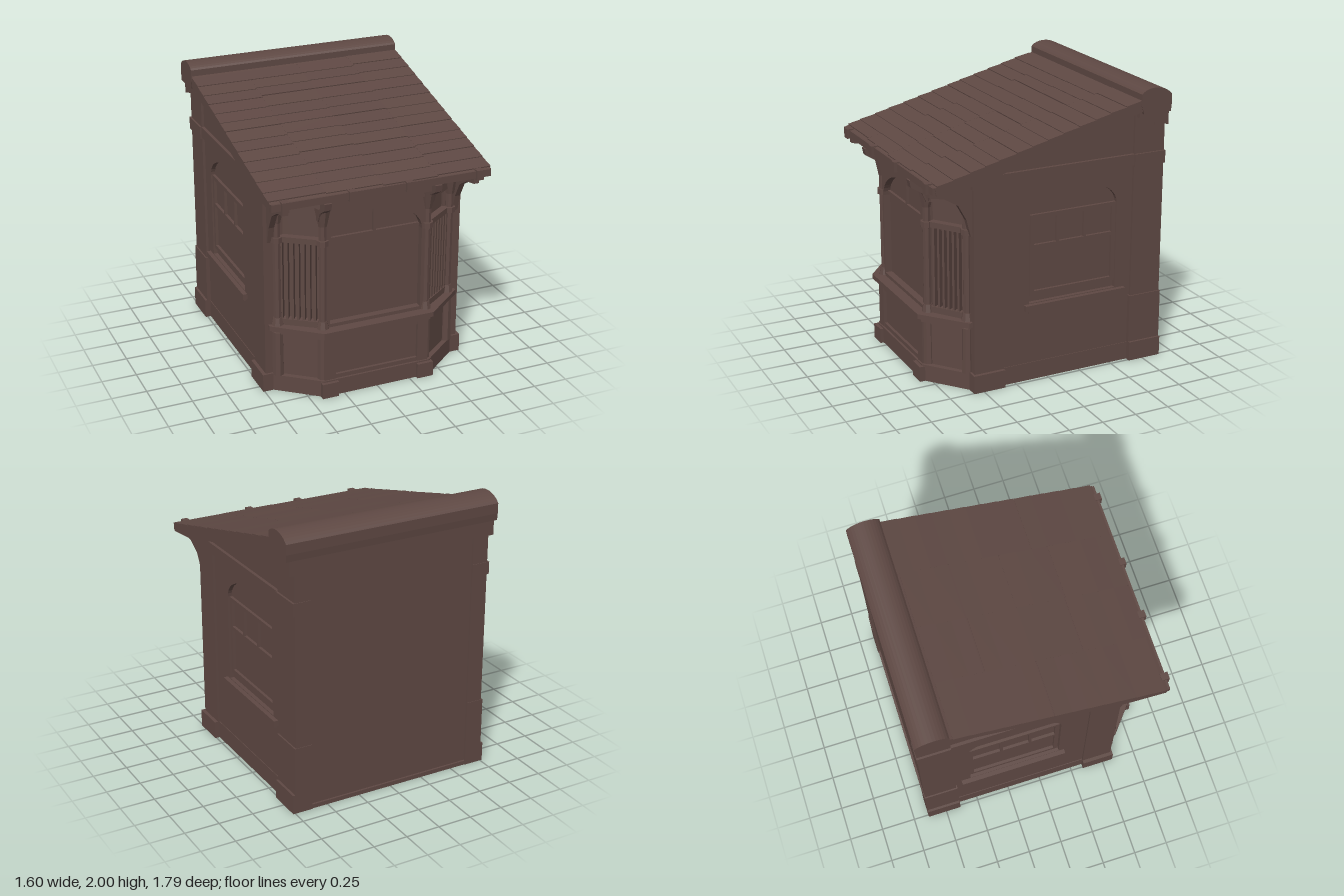
import * as THREE from 'three';

const timber = new THREE.MeshStandardMaterial({ color: 0x5e4843, flatShading: true });
timber.name = 'dark brown timber';

export function createModel() {
  const root = new THREE.Group();
  root.name = 'bayWindowHut';

  const add = (name, geometry, parent = root) => {
    const m = new THREE.Mesh(geometry, timber);
    m.name = name;
    parent.add(m);
    return m;
  };
  // Box given by its limits on each axis
  const box = (name, x0, x1, y0, y1, z0, z1, parent) => {
    const g = new THREE.BoxGeometry(x1 - x0, y1 - y0, z1 - z0);
    g.translate((x0 + x1) / 2, (y0 + y1) / 2, (z0 + z1) / 2);
    return add(name, g, parent);
  };
  const mirroredBox = (name, x0, x1, ...rest) => {
    box(name + 'Left', x0, x1, ...rest);
    box(name + 'Right', -x1, -x0, ...rest);
  };
  const shapeOf = pts => new THREE.Shape(pts.map(p => new THREE.Vector2(...p)));
  // Side outline [z, y] extruded across x
  const across = (name, shape, x0, x1, segs = 12) => {
    const g = new THREE.ExtrudeGeometry(shape, { depth: x1 - x0, bevelEnabled: false, curveSegments: segs });
    g.rotateY(-Math.PI / 2);
    g.translate(x1, 0, 0);
    return add(name, g);
  };
  // Canted bay slab: front half-width, front z, rear half-width, rear z
  const bay = (name, fw, fz, rw, rz, y0, y1) => {
    const s = shapeOf([[-rw, -0.5], [rw, -0.5], [rw, -rz], [fw, -fz], [-fw, -fz], [-rw, -rz]].map(([x, z]) => [x, z]));
    const pts = [[-rw, -0.45], [rw, -0.45], [rw, -rz], [fw, -fz], [-fw, -fz], [-rw, -rz]];
    s.curves = shapeOf(pts).curves;
    const g = new THREE.ExtrudeGeometry(s, { depth: y1 - y0, bevelEnabled: false });
    g.rotateX(-Math.PI / 2);
    g.translate(0, y0, 0);
    return add(name, g);
  };
  // Opening with an elliptical arched head
  const archPath = (u0, u1, base, spring, top) => {
    const p = new THREE.Path();
    p.moveTo(u0, base);
    p.lineTo(u1, base);
    p.lineTo(u1, spring);
    p.absellipse((u0 + u1) / 2, spring, (u1 - u0) / 2, top - spring, 0, Math.PI, false);
    p.lineTo(u0, base);
    return p;
  };

  // Main body with sloping top
  across('bodyCore', shapeOf([[-0.87, 0], [0.55, 0], [0.55, 1.5], [-0.66, 1.83], [-0.87, 1.83]]), -0.69, 0.69);

  // Side walls: arched window recesses, piers, beams and gables
  for (const s of [1, -1]) {
    const side = s > 0 ? 'Left' : 'Right';
    const span = (a, b) => (s > 0 ? [a, b] : [-b, -a]);
    const sideBox = (name, x0, x1, ...r) => box(name + side, ...span(x0, x1), ...r);
    const wall = shapeOf([[-0.65, 0.13], [0.35, 0.13], [0.35, 1.47], [-0.65, 1.47]]);
    wall.holes.push(archPath(-0.53, 0.14, 0.57, 1.2, 1.38));
    across('sideWall' + side, wall, ...span(0.68, 0.72));
    sideBox('sidePlinth', 0.68, 0.725, 0, 0.13, -0.65, 0.35);
    sideBox('frontPier', 0.6, 0.735, 0, 1.47, 0.34, 0.56);
    sideBox('frontPierFoot', 0.6, 0.76, 0, 0.13, 0.34, 0.575);
    sideBox('backPier', 0.62, 0.738, 0, 1.83, -0.885, -0.65);
    sideBox('backPierLower', 0.62, 0.748, 0, 0.49, -0.89, -0.64);
    sideBox('backPierFoot', 0.62, 0.765, 0, 0.14, -0.89, -0.64);
    sideBox('backPierBand', 0.62, 0.752, 1.44, 1.53, -0.89, -0.65);
    sideBox('sideBeam', 0.66, 0.742, 1.45, 1.53, -0.66, 0.57);
    across('gable' + side, shapeOf([[-0.66, 1.5], [0.5, 1.5], [-0.66, 1.83]]), ...span(0.66, 0.72));
    // Flared shoulder under the ridge cap
    across('ridgeShoulder' + side, shapeOf([[-0.89, 1.72], [-0.66, 1.79], [-0.66, 1.86], [-0.89, 1.86]]), ...span(0.7, 0.775));
    // Side window frame and glazing bars
    for (const [z0, z1, y0, y1] of [
      [0.1, 0.13, 0.64, 1.2], [-0.53, -0.5, 0.64, 1.2], [-0.53, 0.13, 1.17, 1.2], [-0.5, 0.1, 0.96, 0.985],
      [-0.09, -0.07, 0.985, 1.17], [-0.3, -0.28, 0.985, 1.17], [-0.53, 0.13, 0.62, 0.65]])
      sideBox('windowBar', 0.68, 0.71, y0, y1, z0, z1);
    sideBox('windowSill', 0.68, 0.752, 0.525, 0.565, -0.6, 0.18);
    sideBox('windowApron', 0.68, 0.735, 0.5, 0.53, -0.57, 0.15);
  }

  // Back frame around a shallow recessed panel
  box('backTopBand', -0.74, 0.74, 1.72, 1.84, -0.89, -0.8);
  box('backBottomRail', -0.63, 0.63, 0, 0.03, -0.885, -0.8);

  // Bay: plinth, panelled base, sill, glazed upper part, head mouldings
  bay('bayPlinth', 0.4, 0.805, 0.69, 0.57, 0, 0.12);
  mirroredBox('bayPlinthBlock', 0.3, 0.42, 0, 0.11, 0.7, 0.83);
  bay('bayBase', 0.38, 0.77, 0.66, 0.55, 0.12, 0.47);
  bay('bayLowerMould', 0.4, 0.805, 0.68, 0.57, 0.44, 0.475);
  bay('baySill', 0.41, 0.835, 0.71, 0.585, 0.47, 0.505);
  bay('bayCore', 0.37, 0.71, 0.62, 0.53, 0.5, 1.47);
  bay('bayHead', 0.39, 0.78, 0.66, 0.57, 1.36, 1.41);
  bay('bayCornice', 0.4, 0.82, 0.7, 0.59, 1.41, 1.47);

  // Raised frame on the front base panel
  box('panelTopRail', -0.38, 0.38, 0.41, 0.45, 0.74, 0.79);
  box('panelBottomRail', -0.38, 0.38, 0.12, 0.15, 0.74, 0.79);
  mirroredBox('panelStile', 0.31, 0.39, 0.12, 0.45, 0.72, 0.795);

  // Arched surround of the front window with its bars
  const front = shapeOf([[-0.39, 0.5], [0.39, 0.5], [0.39, 1.38], [-0.39, 1.38]]);
  front.holes.push(archPath(-0.34, 0.34, 0.53, 1.12, 1.33));
  const frontGeo = new THREE.ExtrudeGeometry(front, { depth: 0.06, bevelEnabled: false, curveSegments: 12 });
  add('frontWindowSurround', frontGeo.translate(0, 0, 0.7));
  box('frontTransom', -0.33, 0.33, 1.135, 1.155, 0.7, 0.73);
  box('frontMullion', -0.01, 0.01, 1.15, 1.33, 0.7, 0.73);

  // Corner posts, fluted canted sides and eaves brackets
  for (const s of [1, -1]) {
    const half = new THREE.Group();
    half.name = s > 0 ? 'baySideLeft' : 'baySideRight';
    root.add(half);
    const post = (x, z, y0, y1, r0, r1, name) =>
      add(name, new THREE.CylinderGeometry(r1, r0, y1 - y0, 8).translate(s * x, (y0 + y1) / 2, z), half);
    for (const [x, z] of [[0.385, 0.745], [0.645, 0.57]]) {
      post(x, z, 0.5, 1.4, 0.028, 0.028, 'cornerPost');
      post(x, z, 0.5, 0.56, 0.045, 0.032, 'postFoot');
      post(x, z, 1.12, 1.16, 0.042, 0.042, 'postRing');
      post(x, z, 1.26, 1.4, 0.03, 0.06, 'postCapital');
      post(x, z, 0.12, 0.45, 0.042, 0.038, 'basePost');
    }
    // Line of the canted face, from front corner to wall
    const yaw = s * Math.atan2(0.18, 0.25);
    const onCant = (name, t, w, y0, y1, d) => {
      const m = add(name, new THREE.BoxGeometry(w, y1 - y0, d), half);
      m.position.set(s * (0.39 + 0.25 * t), (y0 + y1) / 2, 0.725 - 0.175 * t);
      m.rotation.y = yaw;
    };
    for (let i = 1; i < 8; i++) onCant('flute', i / 8, 0.016, 0.54, 1.14, 0.04);
    onCant('fluteTopRail', 0.5, 0.28, 1.12, 1.16, 0.05);
    onCant('fluteBottomRail', 0.5, 0.28, 0.5, 0.55, 0.05);
    onCant('cantedHeadPanel', 0.5, 0.28, 1.3, 1.38, 0.04);
    // Scroll brackets under the eaves
    const bracket = shapeOf([[0.54, 1.47], [0.86, 1.47], [0.86, 1.43], [0.76, 1.41], [0.66, 1.35], [0.6, 1.24], [0.57, 1.12], [0.54, 1.12]]);
    across('eavesBracket', bracket, s * 0.69 - 0.02, s * 0.69 + 0.02);
    across('frontBracket', shapeOf([[0.7, 1.47], [0.88, 1.47], [0.87, 1.42], [0.79, 1.37], [0.76, 1.3], [0.7, 1.3]]),
      s * 0.4 - 0.025, s * 0.4 + 0.025);
  }

  // Roof slab, eaves beam and bosses
  across('roofSlab', shapeOf([[0.85, 1.47], [0.86, 1.525], [-0.68, 1.92], [-0.68, 1.84], [0.56, 1.5]]), -0.795, 0.795);
  box('eavesBeam', -0.79, 0.79, 1.475, 1.525, 0.82, 0.875);
  for (const x of [-0.7, -0.23, 0.18, 0.7]) box('eavesBoss', x - 0.025, x + 0.025, 1.465, 1.535, 0.84, 0.895);

  // Uneven shingle courses
  let seed = 7;
  const rnd = () => (seed = (seed * 16807) % 2147483647) / 2147483647;
  const slope = Math.atan2(0.395, 1.54);
  for (let r = 0; r < 13; r++) {
    const z = 0.79 - r * 0.115;
    for (let c = 0; c < 4; c++) {
      const w = 0.4;
      const m = add('shingle', new THREE.BoxGeometry(w, 0.008, 0.125));
      const zz = z + (rnd() - 0.5) * 0.03;
      m.position.set(-0.6 + c * 0.4, 1.525 + (0.86 - zz) * 0.2565 + 0.001, zz);
      m.rotation.x = slope - 0.03 - rnd() * 0.03;
    }
  }

  // Rounded ridge cap along the back
  const cap = new THREE.Shape();
  cap.moveTo(-0.89, 1.82);
  cap.lineTo(-0.68, 1.82);
  cap.lineTo(-0.66, 1.88);
  cap.lineTo(-0.66, 1.96);
  cap.bezierCurveTo(-0.7, 2.013, -0.84, 2.013, -0.895, 1.94);
  cap.lineTo(-0.895, 1.87);
  across('ridgeCap', cap, -0.8, 0.8);
  return root;
}
